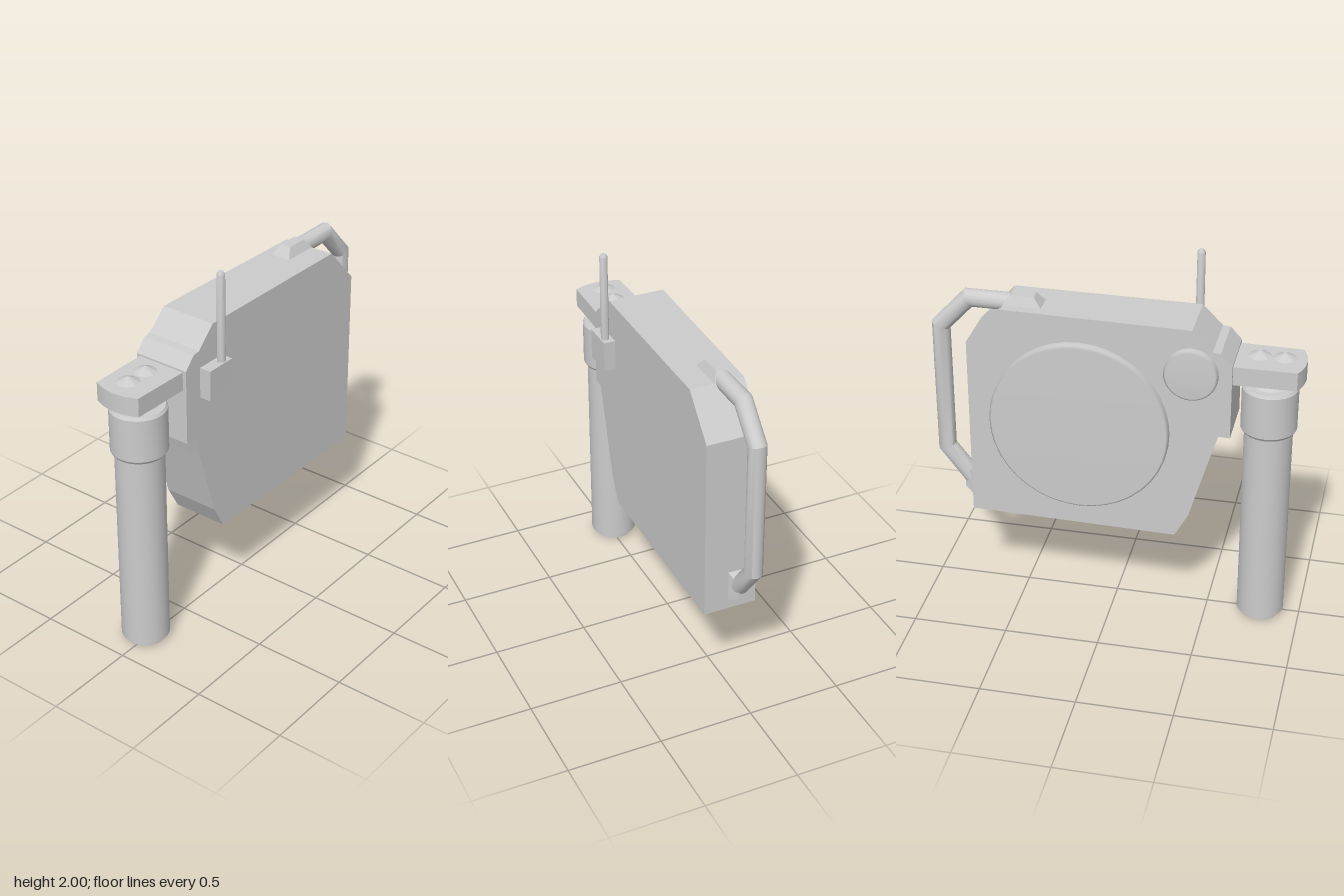
import * as THREE from 'three';
import { toCreasedNormals } from 'three/addons/utils/BufferGeometryUtils.js';

const material = new THREE.MeshStandardMaterial({ color: 0xcccccc });
const flatMaterial = new THREE.MeshStandardMaterial({ color: 0xcccccc, flatShading: true });

function add(group, name, geometry, x = 0, y = 0, z = 0, mat = material) {
  const mesh = new THREE.Mesh(geometry, mat);
  mesh.name = name;
  mesh.position.set(x, y, z);
  group.add(mesh);
  return mesh;
}

function lathe(points, sides) {
  return new THREE.LatheGeometry(points.map(([r, y]) => new THREE.Vector2(r, y)), sides);
}

// Box whose top is narrowed, standing on y = 0
function frustum(width, depth, height, topWidth, topDepth) {
  const geometry = new THREE.BoxGeometry(width, height, depth).translate(0, height / 2, 0);
  const p = geometry.attributes.position;
  for (let i = 0; i < p.count; i++) {
    if (p.getY(i) > height / 2) {
      p.setX(i, p.getX(i) * topWidth / width);
      p.setZ(i, p.getZ(i) * topDepth / depth);
    }
  }
  return geometry;
}

// Pipe with mitred corners along [z, y] points, first point at its top end
function mitredPipe(path, radius) {
  const n = path.length - 1;
  const normals = [];
  for (let i = 0; i < n; i++) {
    const [z0, y0] = path[i], [z1, y1] = path[i + 1];
    normals.push(new THREE.Vector2(y0 - y1, z1 - z0).normalize()); // (z, y)
  }
  const geometry = new THREE.CylinderGeometry(radius, radius, 1, 20, n);
  const p = geometry.attributes.position;
  for (let v = 0; v < p.count; v++) {
    const i = Math.round((0.5 - p.getY(v)) * n);
    const a = normals[Math.max(i - 1, 0)], b = normals[Math.min(i, n - 1)];
    const k = p.getZ(v) / (1 + a.dot(b));
    p.setXYZ(v, p.getX(v), path[i][1] + (a.y + b.y) * k, path[i][0] + (a.x + b.x) * k);
  }
  return toCreasedNormals(geometry, 0.5);
}

export function createModel() {
  const model = new THREE.Group();
  model.name = 'canisterPack';

  // Case: side profile in (z, y), extruded across x and slightly tapered to the back
  const profile = [
    [0.41, 1.715], [-0.57, 1.715], [-0.76, 1.51], [-0.76, 0.51], [0.34, 0.51],
    [0.41, 0.64], [0.52, 1.02], [0.555, 1.135], [0.615, 1.135], [0.615, 1.54],
    [0.555, 1.605], [0.515, 1.61],
  ];
  const caseGeometry = new THREE.ExtrudeGeometry(
    new THREE.Shape(profile.map(([z, y]) => new THREE.Vector2(z, y))),
    { depth: 1, bevelEnabled: false }
  ).rotateY(-Math.PI / 2);
  const p = caseGeometry.attributes.position;
  for (let i = 0; i < p.count; i++) {
    const back = 0.615 - p.getZ(i);
    p.setX(i, p.getX(i) < -0.5 ? -0.171 + 0.027 * back : 0.137 + 0.01 * back);
  }
  add(model, 'case', caseGeometry, 0, 0, 0, flatMaterial);

  // Round covers on the right side
  for (const [name, r, y, z, x] of [
    ['largeCover', 0.47, 1.11, -0.165, -0.199],
    ['smallCover', 0.138, 1.48, 0.41, -0.204],
  ]) {
    const h = 0.08;
    const cover = lathe([[r, 0], [r, h - 0.01], [r - 0.012, h], [0, h]], 40).rotateZ(Math.PI / 2);
    add(model, name, cover, x + h, y, z);
  }

  // Rear handle and its two mounts
  const handleX = -0.035;
  const handlePath = [[-0.54, 1.715], [-0.765, 1.715], [-0.918, 1.55], [-0.918, 0.83], [-0.785, 0.655]];
  add(model, 'rearHandle', mitredPipe(handlePath, 0.047), handleX);
  add(model, 'upperHandleMount', frustum(0.11, 0.2, 0.05, 0.06, 0.12), handleX, 1.715, -0.475, flatMaterial);
  add(model, 'lowerHandleMount', frustum(0.11, 0.17, 0.06, 0.06, 0.09).rotateX(-Math.PI / 2),
    handleX, 0.645, -0.76, flatMaterial);

  // Front cylinder with collar and neck
  const tankX = -0.02, tankZ = 0.79;
  const tank = lathe([
    [0, 0], [0.1, 0], [0.1, 0.012], [0.125, 0.03], [0.125, 1.13], [0.135, 1.13], [0.145, 1.145],
    [0.145, 1.375], [0.135, 1.39], [0.1, 1.39], [0.08, 1.41], [0.1, 1.43], [0, 1.43],
  ], 28);
  add(model, 'frontCylinder', toCreasedNormals(tank, 0.5), tankX, 0, tankZ);

  // Bracket plate with a curved front edge
  const plate = new THREE.Shape();
  plate.moveTo(-0.152, -0.58);
  plate.lineTo(-0.148, -0.935);
  plate.quadraticCurveTo(-0.02, -1.0, 0.11, -0.935);
  plate.lineTo(0.117, -0.58);
  const plateGeometry = new THREE.ExtrudeGeometry(plate, { depth: 0.1, bevelEnabled: false, curveSegments: 8 });
  add(model, 'bracketPlate', toCreasedNormals(plateGeometry.rotateX(-Math.PI / 2), 0.4), 0, 1.43, 0);

  // Faceted bolts on the plate
  for (const z of [0.73, 0.855]) {
    const bolt = lathe([[0.03, 0], [0.06, 0.013], [0, 0.042]], 9);
    add(model, 'plateBolt', bolt, tankX, 1.53, z, flatMaterial);
  }

  // Antenna and its box on the left side
  add(model, 'antennaBox', new THREE.BoxGeometry(0.07, 0.165, 0.17), 0.167, 1.433, 0.425, flatMaterial);
  const antenna = lathe([[0.022, 1.5], [0.021, 1.985], [0.014, 1.997], [0, 2]], 14);
  add(model, 'antenna', toCreasedNormals(antenna, 0.6), 0.175, 0, 0.39);

  // Small drain peg under the case
  add(model, 'drainPeg', new THREE.CylinderGeometry(0.024, 0.024, 0.08, 12), 0.02, 0.49, 0.245);

  return model;
}
